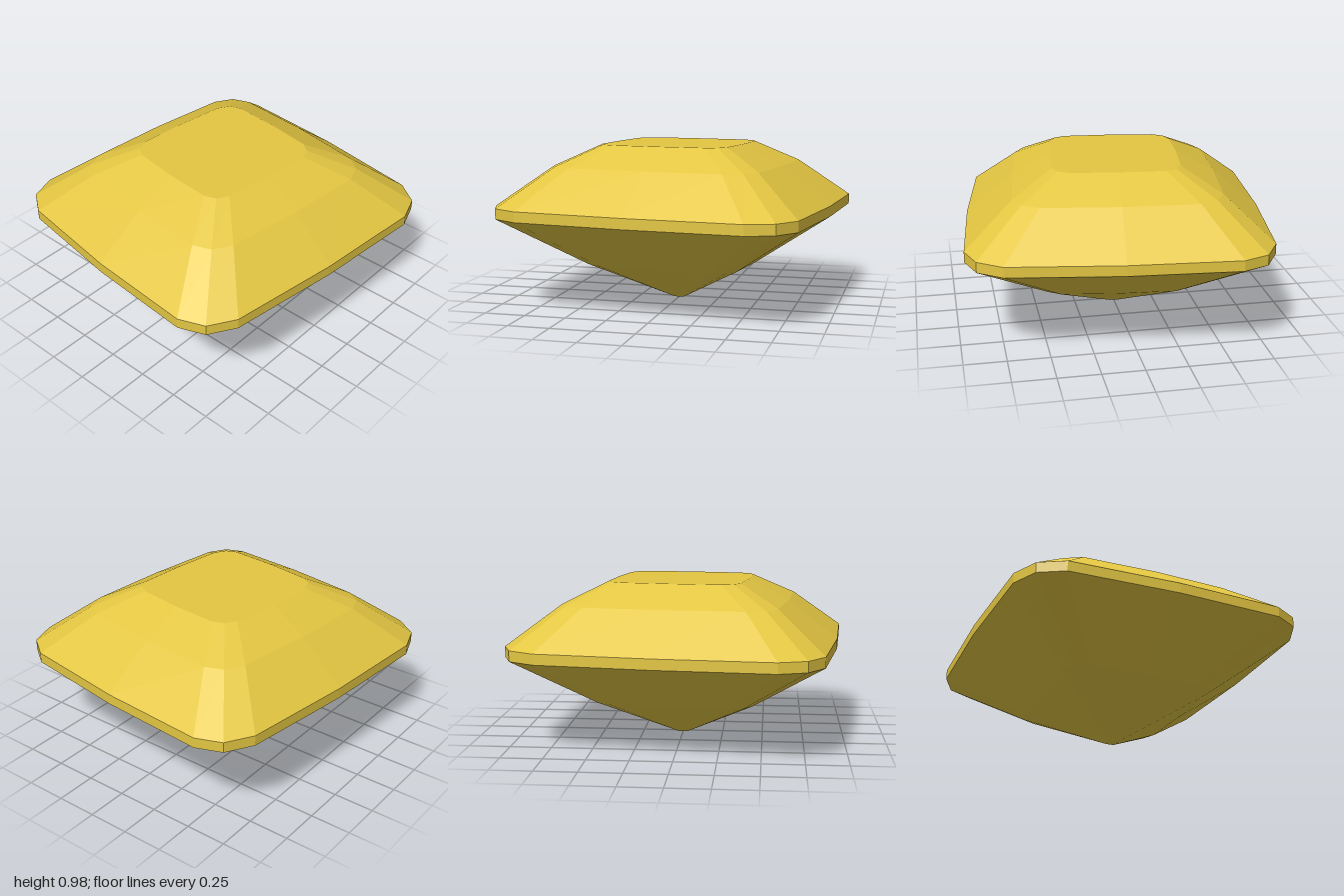
import * as THREE from 'three';

// Half of the skewed cushion outline (x, z); the other half is its half-turn copy.
const half = [
  [-0.55, -1], [0.1, -0.95], [0.76, -0.85], [0.9, -0.75],
  [0.957, -0.585], [0.9, 0.1], [0.8, 0.785], [0.705, 0.94],
];
const outline = [...half, ...half.map(([x, z]) => [-x, -z])];

// Rings as [scale, height], from the bottom tip to the flat top.
const culet = [0.035, 0];
const pavilionBreak = [0.52, 0.25];
const girdleLow = [1, 0.555];
const girdleHigh = [1, 0.618];
const crownBreak = [0.69, 0.85];
const table = [0.43, 0.975];

const ringPoints = ([s, y]) => outline.map(([x, z]) => [x * s, y, z * s]);

function facetGeometry(triangles) {
  const geometry = new THREE.BufferGeometry();
  geometry.setAttribute('position', new THREE.Float32BufferAttribute(triangles.flat(), 3));
  geometry.computeVertexNormals();
  return geometry;
}

// Facets joining a stack of rings, lowest first.
function band(...rings) {
  const triangles = [];
  for (let r = 0; r < rings.length - 1; r++) {
    const a = ringPoints(rings[r]);
    const b = ringPoints(rings[r + 1]);
    a.forEach((a0, i) => {
      const j = (i + 1) % a.length;
      triangles.push(a[j], a0, b[i], a[j], b[i], b[j]);
    });
  }
  return facetGeometry(triangles);
}

// Flat face closing a ring.
function cap(ring, up) {
  const p = ringPoints(ring);
  const center = [0, ring[1], 0];
  return facetGeometry(p.flatMap((p0, i) => {
    const p1 = p[(i + 1) % p.length];
    return up ? [center, p1, p0] : [center, p0, p1];
  }));
}

export function createModel() {
  const group = new THREE.Group();
  group.name = 'cutGem';
  const gold = new THREE.MeshStandardMaterial({ color: 0xe3c642, flatShading: true });
  gold.name = 'goldenYellow';

  const add = (name, geometry) => {
    const mesh = new THREE.Mesh(geometry, gold);
    mesh.name = name;
    group.add(mesh);
  };

  add('culet', cap(culet, false));
  add('pavilion', band(culet, pavilionBreak, girdleLow));
  add('girdle', band(girdleLow, girdleHigh));
  add('crown', band(girdleHigh, crownBreak, table));
  add('table', cap(table, true));
  return group;
}
